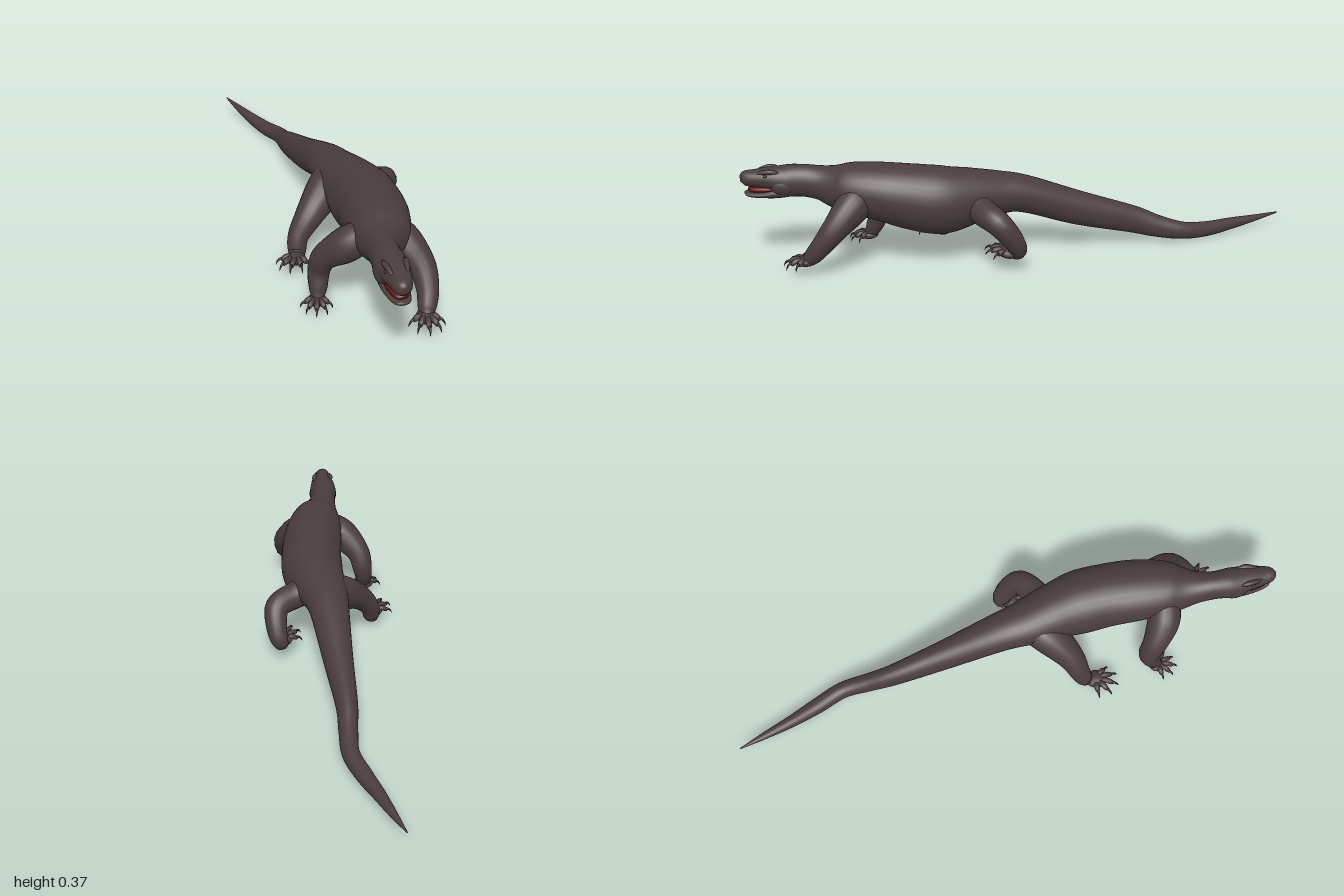
import * as THREE from 'three';

const skin = new THREE.MeshStandardMaterial({ color: 0x4a3d3c });
skin.name = 'dark brown skin';
const claw = new THREE.MeshStandardMaterial({ color: 0x302827 });
claw.name = 'claw and eye black';
const flesh = new THREE.MeshStandardMaterial({ color: 0x5e1713 });
flesh.name = 'mouth red';

// Smooth skin over oval rings; each section is [x, y, z, half width, half height]
function loft(name, sections, material, sides = 20, perSpan = 5) {
  const path = new THREE.CatmullRomCurve3(sections.map(s => new THREE.Vector3(s[0], s[1], s[2])), false, 'catmullrom');
  const size = new THREE.CatmullRomCurve3(sections.map(s => new THREE.Vector3(s[3], s[4] ?? s[3], 0)), false, 'catmullrom');
  const rings = (sections.length - 1) * perSpan;
  const pos = [], index = [];
  let side = null;
  for (let i = 0; i <= rings; i++) {
    const t = i / rings, c = path.getPoint(t), r = size.getPoint(t), dir = path.getTangent(t);
    if (!side) side = new THREE.Vector3(0, 1, 0).cross(dir);
    side.addScaledVector(dir, -side.dot(dir)).normalize();
    const up = dir.clone().cross(side);
    for (let j = 0; j < sides; j++) {
      const a = j / sides * Math.PI * 2;
      const p = c.clone().addScaledVector(side, Math.cos(a) * Math.max(r.x, 0.0005))
        .addScaledVector(up, Math.sin(a) * Math.max(r.y, 0.0005));
      pos.push(p.x, p.y, p.z);
      if (i < rings) {
        const k = (j + 1) % sides, A = i * sides + j, B = i * sides + k;
        index.push(A, B, A + sides, B, B + sides, A + sides);
      }
    }
  }
  // End caps
  const first = sections[0], last = sections[sections.length - 1];
  const n = pos.length / 3, base = rings * sides;
  pos.push(first[0], first[1], first[2], last[0], last[1], last[2]);
  for (let j = 0; j < sides; j++) {
    const k = (j + 1) % sides;
    index.push(n, k, j, n + 1, base + j, base + k);
  }
  const g = new THREE.BufferGeometry();
  g.setAttribute('position', new THREE.Float32BufferAttribute(pos, 3));
  g.setIndex(index);
  g.computeVertexNormals();
  const mesh = new THREE.Mesh(g, material);
  mesh.name = name;
  return mesh;
}

function ball(name, material, x, y, z, rx, ry, rz) {
  const m = new THREE.Mesh(new THREE.SphereGeometry(1, 16, 12), material);
  m.name = name;
  m.position.set(x, y, z);
  m.scale.set(rx, ry, rz);
  return m;
}

// Splayed foot with five arched toes and hooked claws; local +z is forward
function foot(name, [x, y, z], heading, tilt, size) {
  const g = new THREE.Group();
  g.name = name;
  g.add(ball('palm', skin, 0, 0, 0.004, 0.034, 0.02, 0.04));
  [-1.15, -0.55, -0.05, 0.45, 1.0].forEach((angle, i) => {
    const len = [0.038, 0.05, 0.056, 0.05, 0.036][i];
    const toe = new THREE.Group();
    toe.name = 'toe';
    toe.rotation.y = angle;
    toe.add(loft('toeFlesh', [
      [0, 0, 0.012, 0.012], [0, 0.009, 0.012 + len * 0.5, 0.0105],
      [0, 0.003, 0.012 + len * 0.85, 0.0095], [0, -0.004, 0.014 + len, 0.005]], skin, 10, 3));
    toe.add(loft('claw', [
      [0, 0.003, len + 0.004, 0.006], [0, 0.002, len + 0.02, 0.0045],
      [0, -0.009, len + 0.03, 0.0025], [0, -0.02, len + 0.033, 0.0005]], claw, 8, 3));
    g.add(toe);
  });
  g.position.set(x, y, z);
  g.rotation.set(tilt, heading, 0, 'YXZ');
  g.scale.setScalar(size);
  return g;
}

export function createModel() {
  const model = new THREE.Group();
  model.name = 'monitorLizard';

  // Trunk, tail, neck and upper head: [z, centre x, half width, top, bottom]
  const trunk = [
    [-1.0, -0.17, 0.002, 0.052, 0.046], [-0.9, -0.135, 0.014, 0.055, 0.03],
    [-0.8, -0.10, 0.022, 0.06, 0.016], [-0.7, -0.06, 0.029, 0.064, 0.009],
    [-0.6, -0.023, 0.03, 0.08, 0.016], [-0.5, -0.02, 0.033, 0.112, 0.03],
    [-0.4, -0.02, 0.038, 0.155, 0.053], [-0.2, 0.0, 0.053, 0.225, 0.10],
    [0.0, 0.02, 0.071, 0.30, 0.165], [0.1, 0.033, 0.085, 0.325, 0.165],
    [0.2, 0.055, 0.1, 0.347, 0.14], [0.3, 0.073, 0.115, 0.362, 0.118],
    [0.4, 0.074, 0.114, 0.373, 0.138], [0.5, 0.065, 0.112, 0.38, 0.17],
    [0.6, 0.05, 0.1, 0.38, 0.195], [0.66, 0.036, 0.08, 0.37, 0.212],
    [0.72, 0.023, 0.057, 0.364, 0.24], [0.78, 0.015, 0.049, 0.368, 0.252],
    [0.84, 0.013, 0.053, 0.369, 0.256], [0.9, 0.013, 0.045, 0.363, 0.282],
    [0.95, 0.012, 0.036, 0.355, 0.292], [0.985, 0.01, 0.026, 0.35, 0.298],
    [1.0, 0.01, 0.01, 0.335, 0.31]
  ].map(([z, x, w, top, low]) => [x, (top + low) / 2, z, w, (top - low) / 2]);
  model.add(loft('trunk', trunk, skin, 32, 5));

  // Open lower jaw with red lining
  model.add(loft('lowerJaw', [
    [0.013, 0.287, 0.8, 0.043, 0.03], [0.013, 0.275, 0.87, 0.046, 0.024],
    [0.013, 0.268, 0.92, 0.04, 0.015], [0.012, 0.267, 0.96, 0.031, 0.011],
    [0.01, 0.27, 0.98, 0.022, 0.008], [0.01, 0.272, 0.989, 0.006, 0.003]], skin));
  model.add(loft('mouthLining', [
    [0.013, 0.288, 0.86, 0.034, 0.014], [0.013, 0.287, 0.91, 0.036, 0.014],
    [0.012, 0.286, 0.945, 0.03, 0.013], [0.01, 0.284, 0.968, 0.02, 0.009],
    [0.01, 0.282, 0.975, 0.004, 0.003]], flesh));

  // Brows, eyes, nostrils and cheeks
  for (const s of [-1, 1]) {
    model.add(loft('brow', [
      [0.013 + s * 0.033, 0.349, 0.865, 0.004], [0.013 + s * 0.033, 0.354, 0.89, 0.009],
      [0.012 + s * 0.028, 0.351, 0.92, 0.008], [0.012 + s * 0.022, 0.345, 0.945, 0.003]], skin, 12, 4));
    model.add(ball('eye', claw, 0.013 + s * 0.036, 0.34, 0.91, 0.006, 0.006, 0.008));
    model.add(ball('nostril', claw, 0.01 + s * 0.017, 0.333, 0.985, 0.004, 0.004, 0.004));
    model.add(ball('cheek', skin, 0.013 + s * 0.034, 0.3, 0.85, 0.021, 0.032, 0.045));
  }

  // Legs: each a tapering limb ending in a foot
  const legs = [
    ['leftFront', [[0.08, 0.29, 0.56, 0.05], [0.125, 0.245, 0.61, 0.062], [0.17, 0.185, 0.67, 0.047],
      [0.177, 0.125, 0.72, 0.037], [0.165, 0.08, 0.757, 0.03], [0.158, 0.062, 0.78, 0.018]],
    [0.157, 0.062, 0.773], -0.08, 0.05, 0.95],
    ['rightFront', [[0.01, 0.29, 0.6, 0.05], [-0.055, 0.245, 0.585, 0.059], [-0.115, 0.185, 0.545, 0.045],
      [-0.132, 0.125, 0.525, 0.038], [-0.14, 0.065, 0.545, 0.03], [-0.146, 0.036, 0.565, 0.018]],
    [-0.147, 0.034, 0.56], -0.2, 0.06, 0.88],
    ['rightHind', [[0.03, 0.25, 0.1, 0.06], [-0.025, 0.215, 0.17, 0.066], [-0.095, 0.16, 0.235, 0.05],
      [-0.142, 0.1, 0.265, 0.037], [-0.152, 0.05, 0.285, 0.031], [-0.16, 0.042, 0.315, 0.018]],
    [-0.163, 0.046, 0.32], -0.4, -0.12, 1.0],
    ['leftHind', [[0.07, 0.24, 0.18, 0.055], [0.14, 0.215, 0.16, 0.05], [0.208, 0.195, 0.112, 0.045],
      [0.213, 0.135, 0.062, 0.038], [0.2, 0.085, 0.04, 0.03], [0.188, 0.073, 0.07, 0.018]],
    [0.188, 0.075, 0.075], -0.35, -0.22, 0.95]
  ];
  for (const [name, path, at, heading, tilt, size] of legs) {
    model.add(loft(name + 'Leg', path, skin, 18, 6));
    model.add(foot(name + 'Foot', at, heading, tilt, size));
  }
  return model;
}
